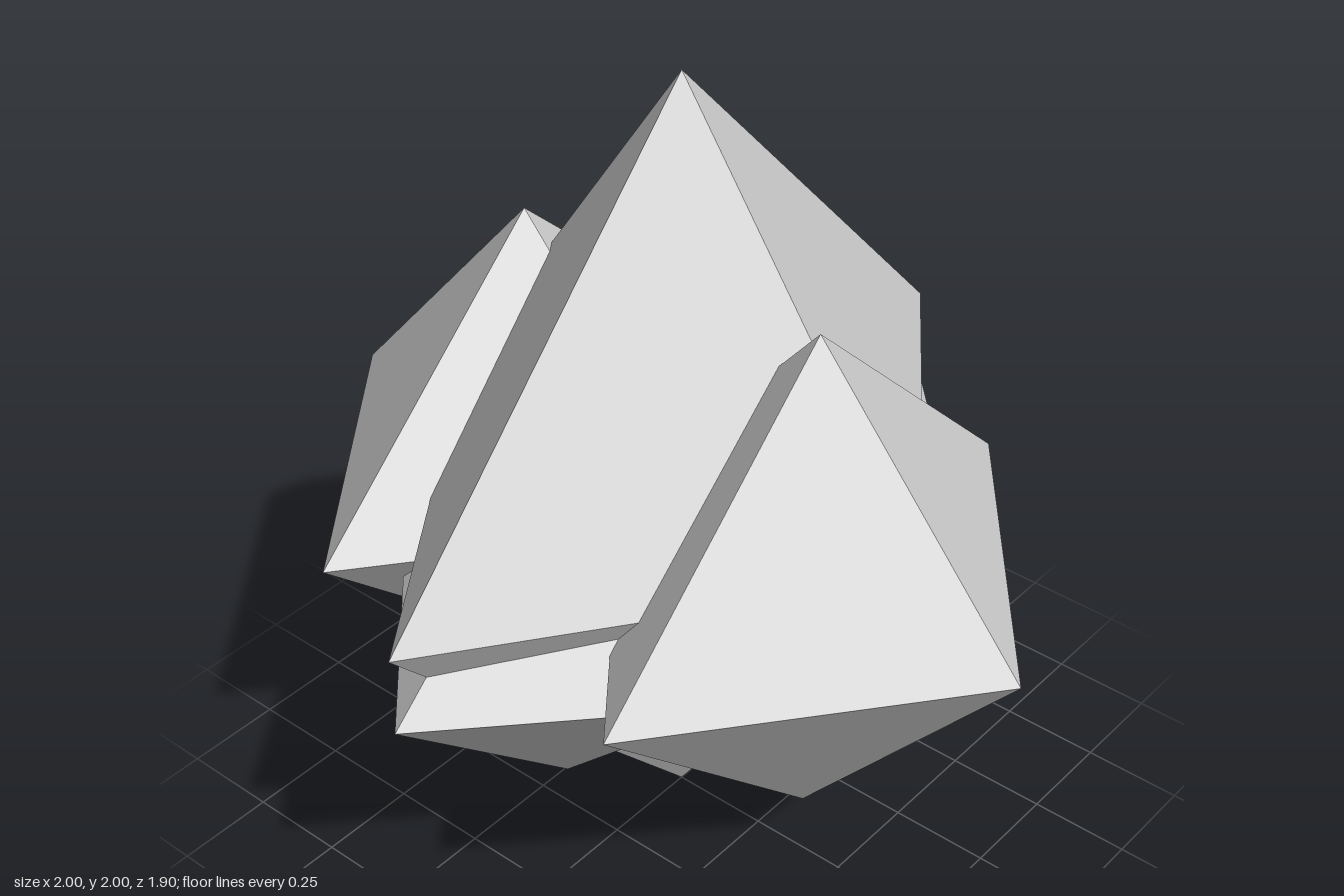
import * as THREE from 'three';

export function createModel() {
  const group = new THREE.Group();
  group.name = 'crystalCluster';
  const stone = new THREE.MeshStandardMaterial({ color: 0xcccccc });
  stone.name = 'paleGreyStone';
  stone.flatShading = true;

  // One stretched octahedron: centre and half-sizes along x, y, z
  function addCrystal(name, centre, half) {
    const geometry = new THREE.OctahedronGeometry(1, 0);
    geometry.scale(...half);
    geometry.computeVertexNormals();
    const mesh = new THREE.Mesh(geometry, stone);
    mesh.name = name;
    mesh.position.set(...centre);
    group.add(mesh);
  }

  // Tall core
  addCrystal('coreCrystal', [0, 1, 0], [0.69, 1, 0.95]);

  // Side crystals, slightly uneven
  addCrystal('leftCrystal', [0.44, 0.905, 0.075], [0.56, 0.658, 0.7]);
  addCrystal('rightCrystal', [-0.44, 0.885, 0.035], [0.56, 0.637, 0.7]);

  // Low front and back crystals
  for (const [name, side] of [['frontCrystal', 1], ['backCrystal', -1]]) {
    addCrystal(name, [0, 0.8, 0.42 * side], [0.5, 0.475, 0.53]);
  }

  return group;
}
